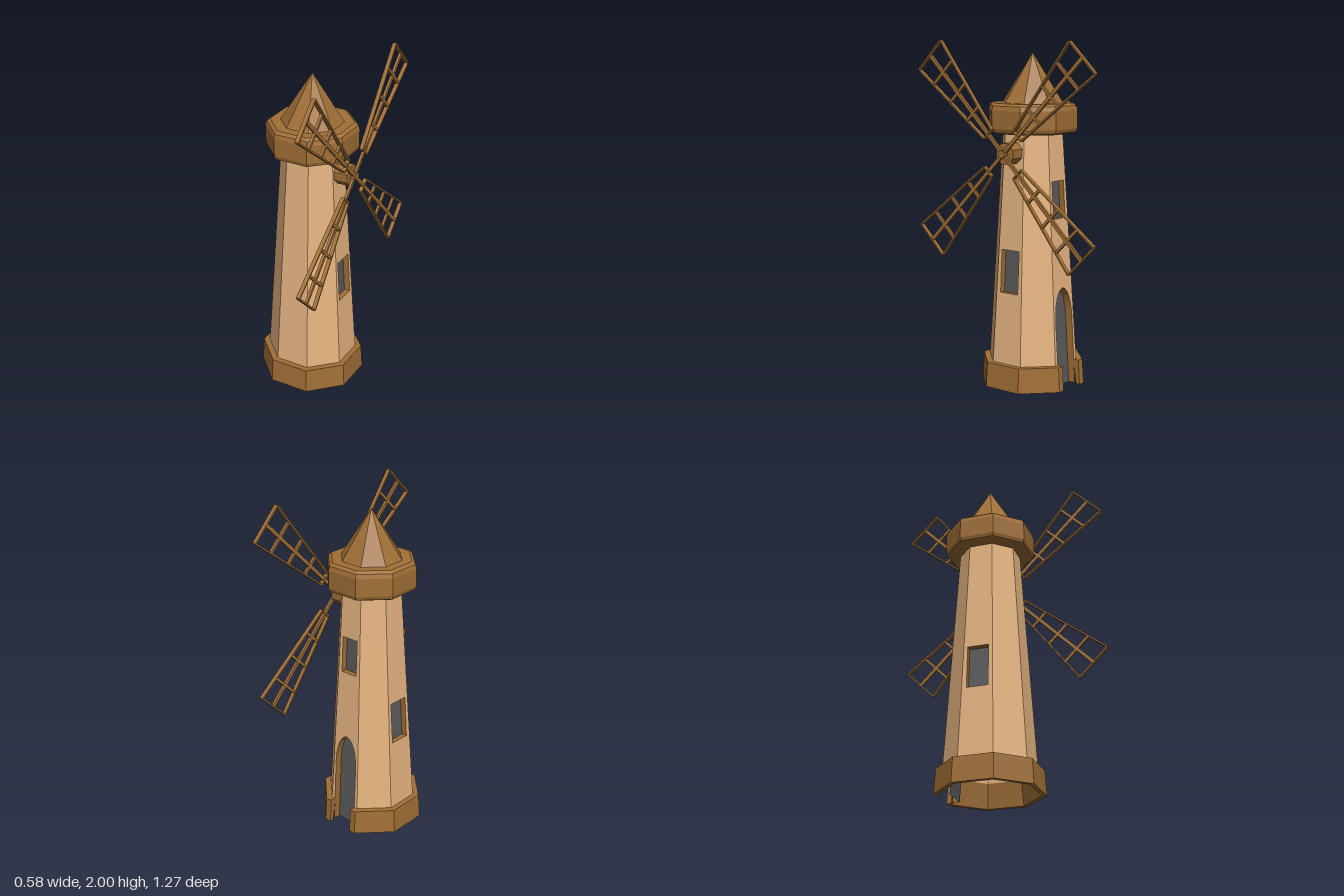
import * as THREE from 'three';

const T = Math.PI / 8;
const DS = THREE.DoubleSide;
const tan = new THREE.MeshStandardMaterial({ color: 0xe7b581, name: 'pale wall', side: DS });
const brown = new THREE.MeshStandardMaterial({ color: 0xa06f36, name: 'brown wood' });
const grey = new THREE.MeshStandardMaterial({ color: 0x5a5a5a, name: 'dark grey', side: DS });

function add(parent, name, geometry, material) {
  const mesh = new THREE.Mesh(geometry, material);
  mesh.name = name;
  parent.add(mesh);
  return mesh;
}

// Flat facets
function flat(geometry) {
  const g = geometry.toNonIndexed();
  g.computeVertexNormals();
  return g;
}

function fromQuads(quads) {
  const pos = [];
  for (const [a, b, c, d] of quads) pos.push(...a, ...b, ...c, ...a, ...c, ...d);
  const g = new THREE.BufferGeometry();
  g.setAttribute('position', new THREE.Float32BufferAttribute(pos, 3));
  g.computeVertexNormals();
  return g;
}

const points = list => list.map(p => new THREE.Vector2(...p));

// Eight-sided lathe; the profile is given as [distance to flat, height]
function octagon(profile) {
  const pts = profile.map(([a, y]) => new THREE.Vector2(a / Math.cos(T), y));
  return flat(new THREE.LatheGeometry(pts, 8, T));
}

// Opening outlines, anticlockwise from the lower left corner
function windowOutline(w, v0, v1) {
  return points([[-w, v0], [w, v0], [w, v1], [-w, v1]]);
}
const DOOR_W = 0.078;
function doorOutline() {
  const spring = 0.4, rise = 0.185, pts = [[-DOOR_W, 0.005], [DOOR_W, 0.005]];
  for (let i = 0; i <= 12; i++) {
    const t = Math.PI * i / 12;
    pts.push([DOOR_W * Math.cos(t), spring + rise * Math.sin(t)]);
  }
  return points(pts);
}

// One leaning wall of the tower, with recessed openings; a door cuts its lower edge
const A0 = 0.254, A1 = 0.164, H = 1.5, V0 = 0.14;
function wall(parent, k, openings) {
  const side = new THREE.Group();
  side.name = 'towerSide';
  side.rotation.y = k * Math.PI / 4;
  const face = new THREE.Group();
  face.name = 'leaningFace';
  face.position.z = A0;
  face.rotation.x = -Math.atan2(A0 - A1, H);
  side.add(face);
  parent.add(side);

  const L = Math.hypot(H, A0 - A1);
  const half = v => (A0 + (A1 - A0) * v / L) * Math.tan(T);
  const door = openings.find(o => o.isDoor);
  const notch = door
    ? [...points([[-DOOR_W, V0]]), ...door.outline.slice(2).reverse(), ...points([[DOOR_W, V0]])]
    : [];
  const shape = new THREE.Shape([
    ...points([[-half(V0), V0]]), ...notch,
    ...points([[half(V0), V0], [half(L), L], [-half(L), L]]),
  ]);
  for (const o of openings) if (!o.isDoor) shape.holes.push(new THREE.Path(o.outline));
  add(face, 'wall', new THREE.ShapeGeometry(shape), tan);

  for (const o of openings) {
    const quads = o.outline.map((p, i) => {
      const q = o.outline[(i + 1) % o.outline.length];
      return [[p.x, p.y, 0], [q.x, q.y, 0], [q.x, q.y, -o.depth], [p.x, p.y, -o.depth]];
    });
    add(face, o.name + 'Frame', fromQuads(o.isDoor ? quads.slice(1) : quads), brown);
    add(face, o.name, new THREE.ShapeGeometry(new THREE.Shape(o.outline)), grey).position.z = -o.depth;
  }
}

// Plinth ring, left open at the doorway
function plinthGeometry() {
  const section = [[0.288, 0], [0.279, 0.145], [0.243, 0.145], [0.262, 0]];
  const rings = [section.map(([a, y]) => [-DOOR_W, y, -a])];
  for (let k = 0; k < 8; k++) {
    const th = Math.PI + T + k * 2 * T;
    rings.push(section.map(([a, y]) => {
      const r = a / Math.cos(T);
      return [r * Math.sin(th), y, r * Math.cos(th)];
    }));
  }
  rings.push(section.map(([a, y]) => [DOOR_W, y, -a]));
  const quads = [rings[0], [...rings[9]].reverse()];
  for (let i = 0; i < 9; i++) {
    for (let j = 0; j < 4; j++) {
      const n = (j + 1) % 4;
      quads.push([rings[i][j], rings[i + 1][j], rings[i + 1][n], rings[i][n]]);
    }
  }
  return fromQuads(quads);
}

// Bar in the sail plane from (z0, y0) to (z1, y1)
function bar(parent, name, [z0, y0], [z1, y1], thick, depth) {
  const len = Math.hypot(z1 - z0, y1 - y0);
  const m = add(parent, name, new THREE.BoxGeometry(depth, len, thick), brown);
  m.position.set(0, (y0 + y1) / 2, (z0 + z1) / 2);
  m.rotation.x = Math.atan2(z1 - z0, y1 - y0);
}

function sail() {
  const g = new THREE.Group();
  g.name = 'sail';
  const r0 = 0.15, r1 = 0.77, w0 = 0.037, w1 = 0.12;
  const half = r => w0 + (w1 - w0) * (r - r0) / (r1 - r0);
  bar(g, 'spar', [0, 0], [0, r1], 0.02, 0.016);
  for (const s of [-1, 1]) bar(g, 'sailEdge', [s * w0, r0], [s * w1, r1], 0.009, 0.024);
  for (const r of [r0, r1]) bar(g, 'sailEnd', [-half(r), r], [half(r), r], 0.009, 0.024);
  for (const r of [0.31, 0.47, 0.63]) bar(g, 'sailRung', [-half(r), r], [half(r), r], 0.016, 0.016);
  return g;
}

export function createModel() {
  const model = new THREE.Group();
  model.name = 'windmill';

  // Tower walls with windows on both sides and the back, door at the back
  const low = { name: 'window', outline: windowOutline(0.063, 0.56, 0.81), depth: 0.035 };
  const high = { name: 'upperWindow', outline: windowOutline(0.054, 0.99, 1.205), depth: 0.035 };
  const door = { name: 'door', outline: doorOutline(), depth: 0.045, isDoor: true };
  const openings = { 2: [low], 4: [door, high], 6: [low] };
  for (let k = 0; k < 8; k++) wall(model, k, openings[k] || []);

  add(model, 'plinth', plinthGeometry(), brown);

  // Cap ring and pointed roof
  add(model, 'capRing', octagon([
    [0.155, 1.473], [0.22, 1.473], [0.238, 1.482], [0.245, 1.502],
    [0.245, 1.607], [0.238, 1.632], [0.22, 1.646], [0.165, 1.646],
  ]), brown);
  add(model, 'roof', octagon([[0.17, 1.64], [0, 1.93]]), brown);

  // Axle and hub
  const axle = add(model, 'axle', flat(new THREE.CylinderGeometry(0.064, 0.064, 0.1, 8, 1, false, T)), brown);
  axle.rotation.z = Math.PI / 2;
  axle.position.set(0.205, 1.367, 0);
  const hub = add(model, 'hub', flat(new THREE.CylinderGeometry(0.023, 0.023, 0.04, 8, 1, false, T)), brown);
  hub.rotation.z = Math.PI / 2;
  hub.position.set(0.268, 1.367, 0);

  // Four lattice sails
  const sails = new THREE.Group();
  sails.name = 'sails';
  sails.position.set(0.27, 1.367, 0);
  for (let i = 0; i < 4; i++) {
    const s = sail();
    s.rotation.x = Math.PI / 4 + i * Math.PI / 2;
    sails.add(s);
  }
  model.add(sails);
  return model;
}
